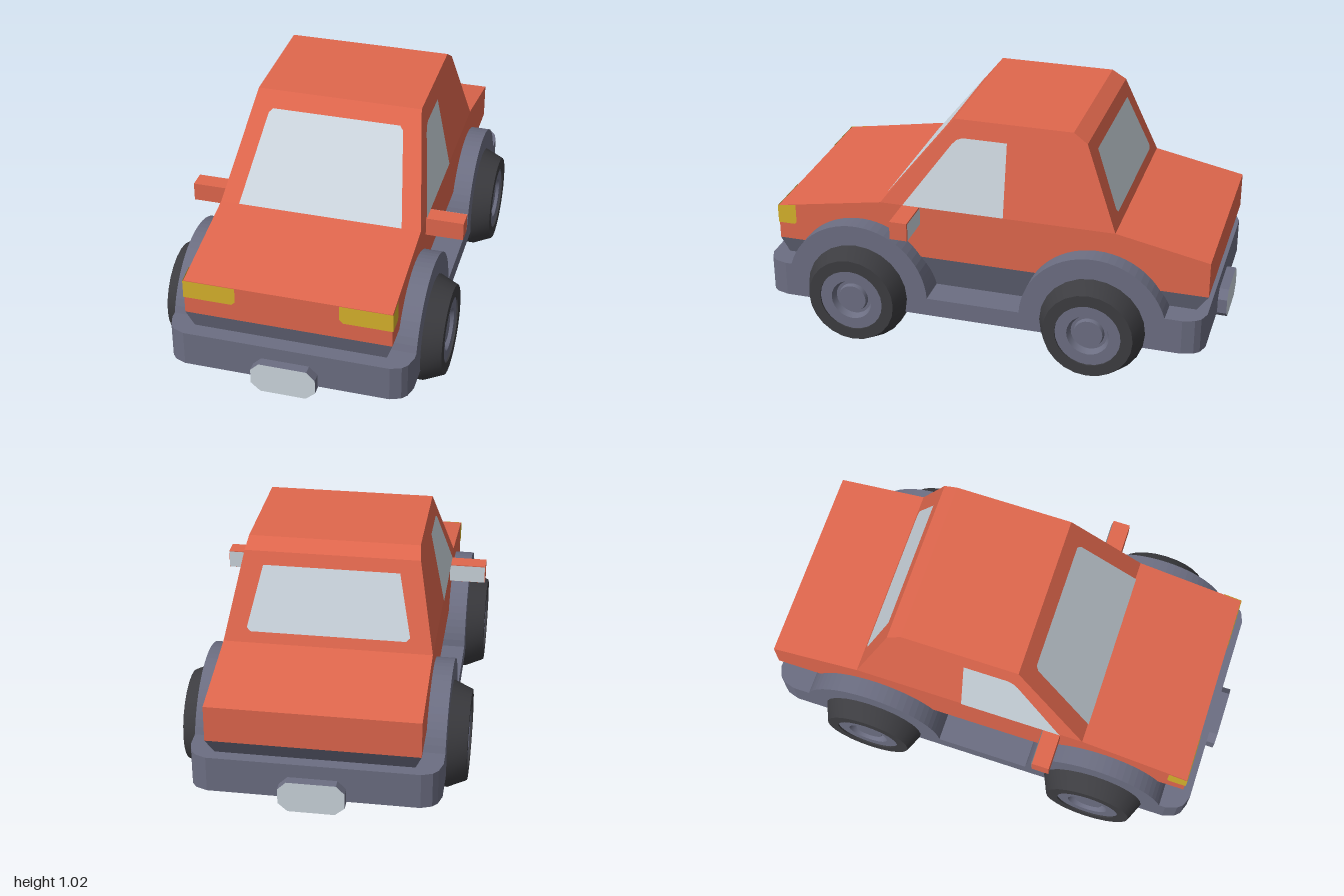
import * as THREE from 'three';
import { toCreasedNormals } from 'three/addons/utils/BufferGeometryUtils.js';

const paint = (name, color, side = THREE.FrontSide) => {
  const m = new THREE.MeshStandardMaterial({ color, side });
  m.name = name;
  return m;
};

const polygon = (pts) => new THREE.Shape(pts.map(([a, b]) => new THREE.Vector2(a, b)));

// Extrudes a (z, y) side outline across the car, centred on x = 0
function acrossCar(shape, half) {
  const g = new THREE.ExtrudeGeometry(shape, { depth: 2 * half, bevelEnabled: false, curveSegments: 14 });
  return g.rotateY(-Math.PI / 2).translate(half, 0, 0);
}

// Narrows the sides linearly from half width h0 at y0 to h1 at y1
function taper(g, y0, h0, y1, h1) {
  const p = g.attributes.position;
  for (let i = 0; i < p.count; i++) {
    const t = (p.getY(i) - y0) / (y1 - y0);
    p.setX(i, Math.sign(p.getX(i)) * (h0 + (h1 - h0) * t));
  }
  g.computeVertexNormals();
  return g;
}

// Flat panel whose outline points are placed in space by a rule
function panel(pts, place) {
  const g = new THREE.ShapeGeometry(polygon(pts));
  const p = g.attributes.position;
  for (let i = 0; i < p.count; i++) p.setXYZ(i, ...place(p.getX(i), p.getY(i)));
  g.computeVertexNormals();
  return g;
}

export function createModel() {
  const red = paint('red paint', 0xe0674d);
  const grey = paint('grey trim', 0x6c6e82);
  const rubber = paint('tyre rubber', 0x3c3c40);
  const glass = paint('pale glass', 0xccd6de, THREE.DoubleSide);
  const yellow = paint('yellow lamp', 0xd6b22c, THREE.DoubleSide);

  const car = new THREE.Group();
  car.name = 'car';
  const add = (name, geometry, material, parent = car) => {
    const m = new THREE.Mesh(geometry, material);
    m.name = name;
    parent.add(m);
    return m;
  };

  // Painted body and cabin
  add('body', acrossCar(polygon([
    [0.92, 0.395], [0.92, 0.55], [0.45, 0.63], [-0.565, 0.63], [-0.96, 0.55], [-0.96, 0.395],
  ]), 0.43), red);
  add('cabin', taper(acrossCar(polygon([
    [0.45, 0.63], [0.14, 1.02], [-0.365, 1.02], [-0.425, 0.98], [-0.565, 0.63],
  ]), 0.43), 0.63, 0.43, 1.02, 0.352), red);

  // Tapered skirt under the body
  add('skirt', taper(acrossCar(polygon([
    [0.92, 0.395], [0.87, 0.235], [-0.86, 0.235], [-0.96, 0.395],
  ]), 0.43), 0.395, 0.43, 0.235, 0.375), grey);

  // Chassis with wheel arches
  const wheelZ = [0.54, -0.495], wheelY = 0.225, arch = 0.315;
  const chassis = new THREE.Shape();
  chassis.moveTo(-0.87, 0.16);
  chassis.lineTo(0.87, 0.16);
  chassis.lineTo(0.87, 0.315);
  for (const z of wheelZ) {
    const start = z > 0 ? Math.asin(0.09 / arch) : 0.05;
    const end = z > 0 ? Math.PI - 0.05 : Math.PI - Math.asin(0.09 / arch);
    chassis.absarc(z, wheelY, arch, start, end, false);
  }
  chassis.lineTo(-0.87, 0.315);
  add('chassis', acrossCar(chassis, 0.51), grey);

  // Bumpers with rounded corners and a plate, front and rear
  const bumperShape = polygon([
    [-0.51, -0.87], [0.51, -0.87], [0.495, -0.92], [0.475, -0.943], [0.43, -0.96],
    [-0.43, -0.96], [-0.475, -0.943], [-0.495, -0.92],
  ]);
  const plateShape = polygon([
    [-0.095, 0.12], [0.095, 0.12], [0.135, 0.155], [0.135, 0.22],
    [0.1, 0.255], [-0.1, 0.255], [-0.135, 0.22], [-0.135, 0.155],
  ]);
  for (const end of ['front', 'rear']) {
    const group = new THREE.Group();
    group.name = end + 'Bumper';
    if (end === 'rear') group.rotation.y = Math.PI;
    const bar = new THREE.ExtrudeGeometry(bumperShape, { depth: 0.155, bevelEnabled: false });
    add('bumper', bar.rotateX(-Math.PI / 2).translate(0, 0.16, 0), grey, group);
    const plate = new THREE.ExtrudeGeometry(plateShape, { depth: 0.05, bevelEnabled: false });
    add('plate', plate.translate(0, 0, 0.95), [glass, grey], group);
    car.add(group);
  }

  // Front and rear windows follow the slopes of the cabin
  add('windscreen', panel([
    [-0.35, 0.632], [0.35, 0.632], [0.29, 0.945], [0.275, 0.96], [-0.275, 0.96], [-0.29, 0.945],
  ], (x, y) => [x, y, 0.455 - (y - 0.63) * 0.31 / 0.39]), glass);
  add('rearWindow', panel([
    [-0.32, 0.675], [0.32, 0.675], [0.335, 0.69], [0.28, 0.93], [-0.28, 0.93], [-0.335, 0.69],
  ], (x, y) => [x, y, -0.57 + (y - 0.63) * 0.14 / 0.35]), glass);

  // Parts mirrored on both sides
  const tyre = toCreasedNormals(new THREE.LatheGeometry([
    [0, 0.33], [0.19, 0.33], [0.225, 0.4], [0.225, 0.51], [0.19, 0.59], [0.14, 0.59], [0.14, 0.57],
  ].map(([r, y]) => new THREE.Vector2(r, y)), 24), 0.35).rotateZ(-Math.PI / 2);
  const rim = toCreasedNormals(new THREE.LatheGeometry([
    [0.14, 0.583], [0.09, 0.583], [0.078, 0.555], [0.065, 0.555], [0.06, 0.572], [0, 0.572],
  ].map(([r, y]) => new THREE.Vector2(r, y)), 24), 0.35).rotateZ(-Math.PI / 2);

  for (const s of [1, -1]) {
    const side = s > 0 ? 'left' : 'right';

    add(side + 'Window', panel([
      [0.35, 0.632], [0.145, 0.915], [0.125, 0.935], [0.1, 0.945], [-0.09, 0.945], [-0.09, 0.632],
    ], (z, y) => [s * (0.434 - (y - 0.63) * 0.2), y, z]), glass);

    // Headlamp wraps around the front corner
    add(side + 'Headlamp', panel([
      [0.215, 0.55], [0.215, 0.485], [0.23, 0.47], [0.433, 0.47], [0.433, 0.55],
    ], (x, y) => [s * x, y, 0.923]), yellow);
    add(side + 'HeadlampSide', panel([
      [0.923, 0.55], [0.923, 0.47], [0.85, 0.47], [0.84, 0.48], [0.84, 0.563],
    ], (z, y) => [s * 0.433, y, z]), yellow);

    // Door mirror with glass facing back
    const mirror = new THREE.BoxGeometry(0.19, 0.08, 0.075);
    add(side + 'Mirror', mirror.translate(s * 0.493, 0.59, 0.315), red);
    add(side + 'MirrorGlass', panel([
      [0.43, 0.552], [0.586, 0.552], [0.586, 0.628], [0.43, 0.628],
    ], (x, y) => [s * x, y, 0.274]), glass);

    for (const z of wheelZ) {
      const wheel = new THREE.Group();
      wheel.name = side + (z > 0 ? 'FrontWheel' : 'RearWheel');
      wheel.position.set(0, wheelY, z);
      if (s < 0) wheel.rotation.y = Math.PI;
      add('tyre', tyre, rubber, wheel);
      add('rim', rim, grey, wheel);
      car.add(wheel);
    }
  }
  return car;
}
